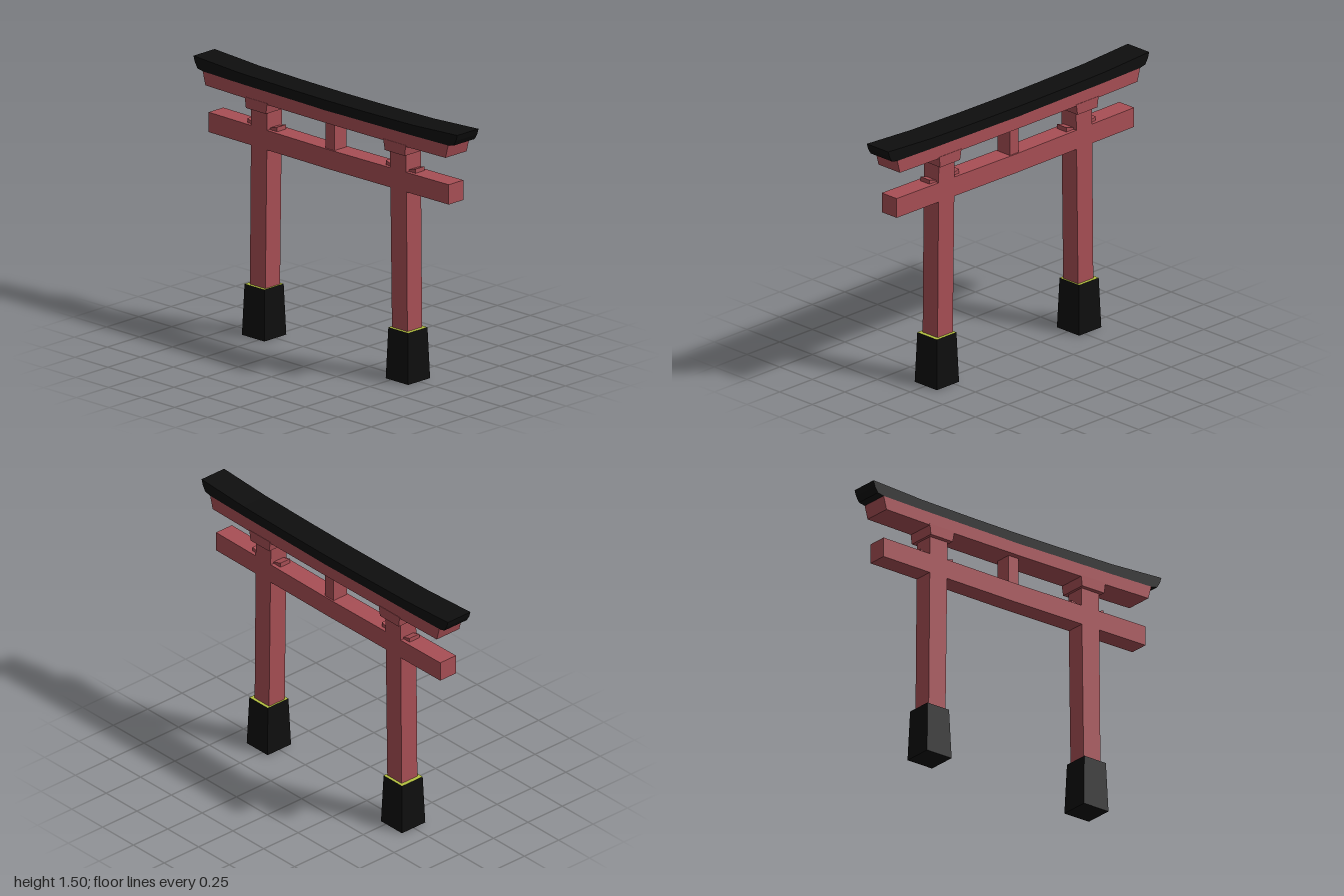
import * as THREE from 'three';

const mat = (name, color) => {
  const m = new THREE.MeshStandardMaterial({ color });
  m.name = name;
  return m;
};

// Flat-sided prism: outline in x/y, centred in z
function prism(points, halfDepth) {
  const shape = new THREE.Shape(points.map(([x, y]) => new THREE.Vector2(x, y)));
  const geo = new THREE.ExtrudeGeometry(shape, { depth: 2 * halfDepth, bevelEnabled: false });
  return geo.translate(0, 0, -halfDepth);
}

// Box whose bottom and top rectangles differ: [x0, x1, halfDepth, y]
function taperedBox(bottom, top) {
  const geo = new THREE.BoxGeometry(1, 1, 1);
  const p = geo.attributes.position;
  for (let i = 0; i < p.count; i++) {
    const [x0, x1, hz, y] = p.getY(i) > 0 ? top : bottom;
    p.setXYZ(i, p.getX(i) > 0 ? x1 : x0, y, Math.sign(p.getZ(i)) * hz);
  }
  geo.computeVertexNormals();
  return geo;
}

// Completes a right-half outline (bottom centre to top centre) with its mirror image
const mirrored = (half) => [
  ...half,
  ...half.filter(([x]) => x > 0).reverse().map(([x, y]) => [-x, y]),
];

export function createModel() {
  const group = new THREE.Group();
  group.name = 'gate';
  const red = mat('red paint', 0xa84f55);
  const black = mat('black paint', 0x0e0e0e);
  const lime = mat('yellow green', 0xb4c040);

  const add = (name, geo, material, parent = group) => {
    const mesh = new THREE.Mesh(geo, material);
    mesh.name = name;
    parent.add(mesh);
  };

  // Upswept roof cap
  add('roofCap', prism(mirrored([
    [0, 1.42], [0.12, 1.422], [0.65, 1.427], [0.93, 1.432], [0.97, 1.44], [0.99, 1.472],
    [1, 1.505], [0.66, 1.487], [0.3, 1.481], [0, 1.479],
  ]), 0.082), black);

  // Beam under the roof, with slanted ends
  add('upperBeam', prism(mirrored([
    [0, 1.35], [0.6, 1.352], [0.91, 1.357], [0.93, 1.432], [0.65, 1.427], [0.12, 1.422], [0, 1.42],
  ]), 0.082), red);

  // Tie beam with a slight sag, and the strut above it
  add('tieBeam', prism(mirrored([
    [0, 1.08], [0.12, 1.081], [0.91, 1.085], [0.91, 1.198], [0.12, 1.192], [0, 1.191],
  ]), 0.057), red);
  add('centreStrut', taperedBox([-0.034, 0.034, 0.048, 1.18], [-0.034, 0.034, 0.048, 1.37]), red);

  for (const side of [1, -1]) {
    const post = new THREE.Group();
    post.name = side > 0 ? 'leftPost' : 'rightPost';
    group.add(post);

    // Mirrors an x range onto this side
    const span = (a, b, hz, y) => (side > 0 ? [a, b, hz, y] : [-b, -a, hz, y]);

    // Footing with a coloured top face
    add('footing', taperedBox(span(0.46, 0.63, 0.085, 0), span(0.47, 0.62, 0.075, 0.29)),
      [black, black, lime, black, black, black], post);
    // Inward-leaning pillar
    add('pillar', taperedBox(span(0.48, 0.597, 0.057, 0.28), span(0.465, 0.587, 0.057, 1.31)), red, post);
    // Capital
    add('capital', taperedBox(span(0.45, 0.602, 0.083, 1.298), span(0.44, 0.61, 0.084, 1.36)), red, post);

    // Wedges on the tie beam, rising away from the pillar
    for (const [inner, outer, name] of [[0.58, 0.637, 'outerWedge'], [0.47, 0.412, 'innerWedge']]) {
      const pts = [[inner, 1.185], [outer, 1.185], [outer, 1.22], [inner, 1.203]];
      add(name, prism(pts.map(([x, y]) => [x * side, y]), 0.035), red, post);
    }
  }
  return group;
}
